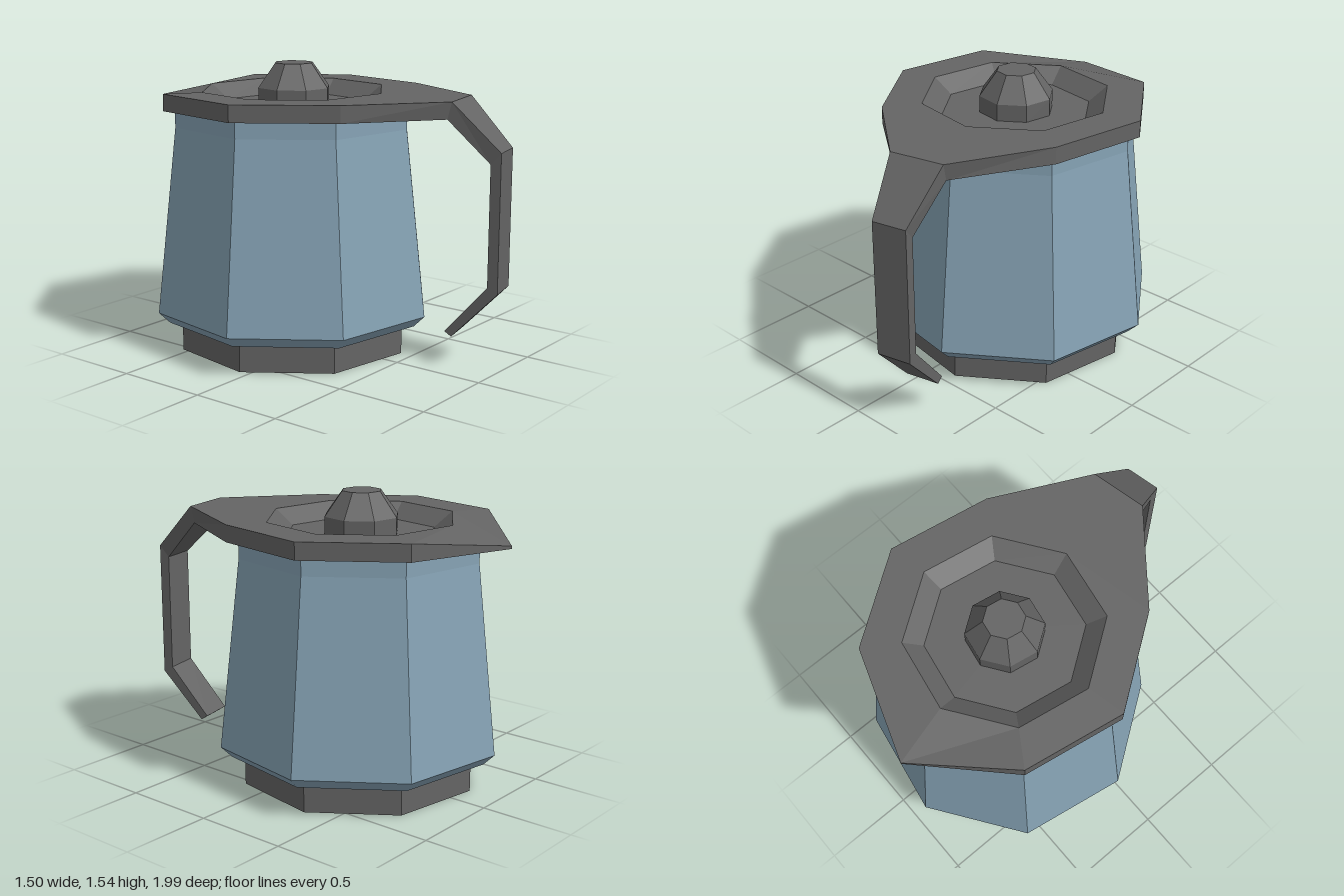
import * as THREE from 'three';

// Flat-shaded skin through rings of [x, y, z] points, listed from bottom to top
function loft(rings, { capStart = false, capEnd = false } = {}) {
  const positions = [];
  const same = (p, q) => p.every((v, i) => Math.abs(v - q[i]) < 1e-6);
  const tri = (a, b, c) => {
    if (!same(a, b) && !same(b, c) && !same(a, c)) positions.push(...a, ...b, ...c);
  };
  for (let s = 0; s < rings.length - 1; s++) {
    const low = rings[s], high = rings[s + 1];
    low.forEach((a, i) => {
      const j = (i + 1) % low.length;
      tri(a, low[j], high[j]);
      tri(a, high[j], high[i]);
    });
  }
  const cap = (ring, up) => {
    const mid = [0, 1, 2].map((k) => ring.reduce((sum, p) => sum + p[k], 0) / ring.length);
    ring.forEach((a, i) => {
      const b = ring[(i + 1) % ring.length];
      if (up) tri(mid, a, b); else tri(mid, b, a);
    });
  };
  if (capStart) cap(rings[0], false);
  if (capEnd) cap(rings[rings.length - 1], true);
  const geometry = new THREE.BufferGeometry();
  geometry.setAttribute('position', new THREE.Float32BufferAttribute(positions, 3));
  geometry.computeVertexNormals();
  return geometry;
}

// Octagon with its first corner towards the handle (+z)
function octagon([r, y]) {
  return Array.from({ length: 8 }, (_, k) => {
    const a = (k * Math.PI) / 4;
    return [r * Math.sin(a), y, r * Math.cos(a)];
  });
}

// Lid outline: octagon with the handle corner widened and the rear corner drawn out to a spout
function lidOutline(y, handleZ, spoutY) {
  const ring = octagon([0.717, y]);
  ring[4] = [0, spoutY, -0.82];
  return [[0.15, y, handleZ], ...ring.slice(1), [-0.15, y, handleZ]];
}

// Octagon with the first corner doubled, to match the lid outline
function recessRing(r, y) {
  const ring = octagon([r, y]);
  return [...ring, ring[0]];
}

export function createModel() {
  const blue = new THREE.MeshStandardMaterial({ color: 0x86a3b5 });
  blue.name = 'blue body';
  const grey = new THREE.MeshStandardMaterial({ color: 0x646464 });
  grey.name = 'dark grey trim';

  const model = new THREE.Group();
  model.name = 'jug';
  const turned = new THREE.Group();
  turned.name = 'turnedJug';
  turned.rotation.y = THREE.MathUtils.degToRad(12.6);
  turned.position.z = -0.195;
  model.add(turned);

  const add = (name, geometry, material) => {
    const mesh = new THREE.Mesh(geometry, material);
    mesh.name = name;
    turned.add(mesh);
  };
  const closed = { capStart: true, capEnd: true };

  // Foot and tapered body
  add('base', loft([[0.64, 0], [0.64, 0.16]].map(octagon), closed), grey);
  add('body', loft(
    [[0.71, 0.16], [0.77, 0.22], [0.655, 1.22], [0.655, 1.31]].map(octagon),
    { capStart: true }), blue);

  // Lid with spout and sunken centre
  add('lid', loft([
    lidOutline(1.31, 0.93, 1.31),
    lidOutline(1.4, 0.952, 1.325),
    recessRing(0.507, 1.4),
    recessRing(0.405, 1.32),
  ], closed), grey);

  // Knob standing in the recess
  add('knob', loft([[0.2, 1.32], [0.2, 1.41], [0.105, 1.54]].map(octagon), { capEnd: true }), grey);

  // Handle sections: half width, outer z and y, inner z and y
  const sections = [
    [0.095, 0.955, 0.165, 0.918, 0.19],
    [0.095, 1.198, 0.42, 1.143, 0.45],
    [0.095, 1.198, 1.15, 1.143, 1.09],
    [0.15, 0.952, 1.4, 0.93, 1.31],
  ];
  add('handle', loft(sections.map(([w, oz, oy, iz, iy]) => [
    [-w, oy, oz], [w, oy, oz], [w, iy, iz], [-w, iy, iz],
  ]), { capStart: true }), grey);

  return model;
}
